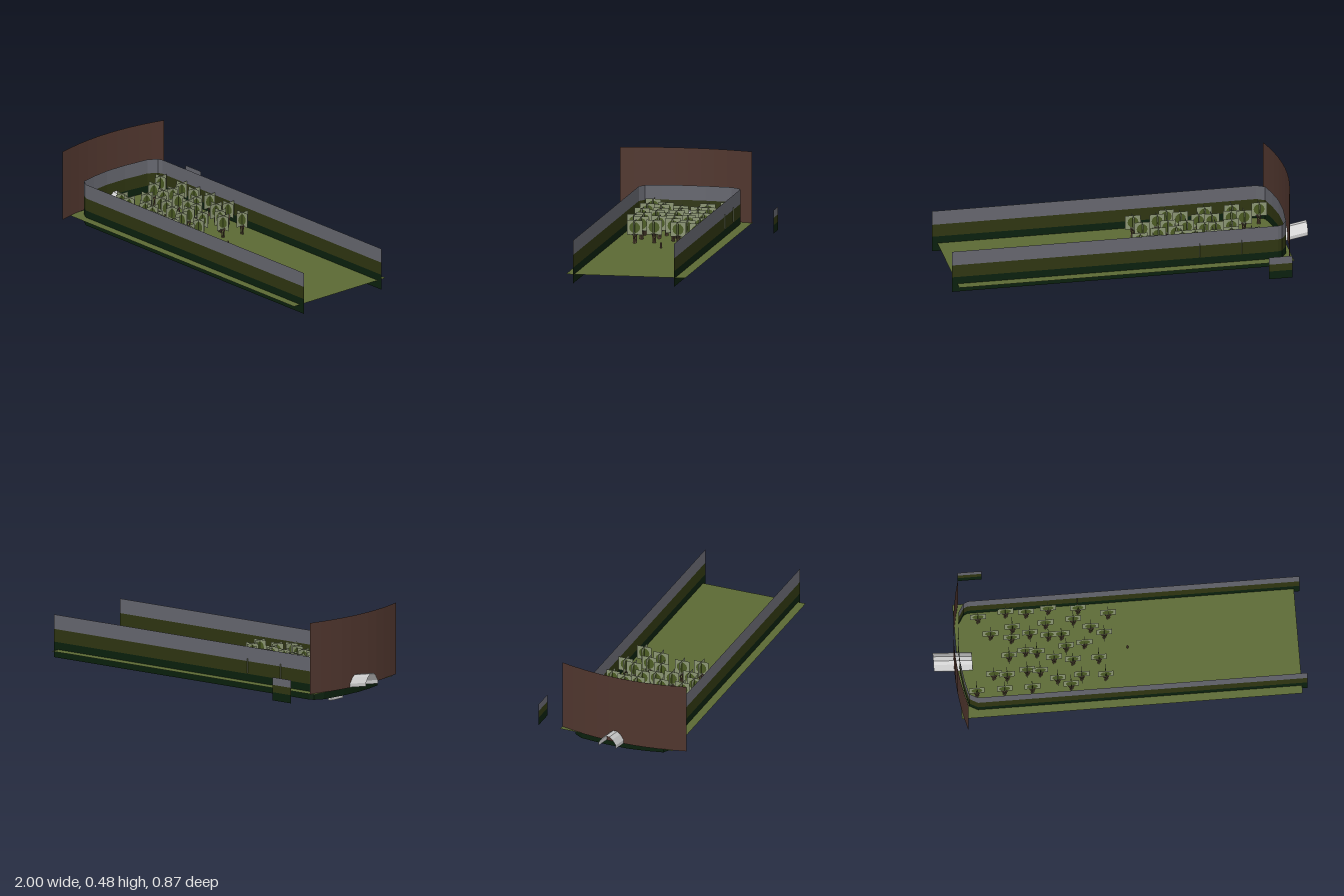
import * as THREE from 'three';

const mat = (name, color) => {
  const m = new THREE.MeshStandardMaterial({ color, side: THREE.DoubleSide, flatShading: true });
  m.name = name;
  return m;
};
const M = {
  grass: mat('grass green', 0x5c6a34),
  hedge: mat('dark hedge green', 0x0a200d),
  olive: mat('olive band', 0x2f3511),
  stone: mat('stone grey', 0x66676f),
  brown: mat('brown board', 0x50362e),
  concrete: mat('pale concrete', 0xcccccc),
  leafPale: mat('pale leaves', 0x8c9674),
  leafDark: mat('leaf green', 0x4c5c24),
  bark: mat('bark', 0x66533f),
};

const add = (parent, name, geo, material, x = 0, y = 0, z = 0) => {
  const m = new THREE.Mesh(geo, material);
  m.name = name;
  m.position.set(x, y, z);
  parent.add(m);
  return m;
};

// Vertical sheet following a path of [x, z] points between two heights
function sheet(path, y0, y1) {
  const pos = [], idx = [];
  path.forEach(([x, z], i) => {
    pos.push(x, y0, z, x, y1, z);
    if (i) {
      const a = 2 * i - 2;
      idx.push(a, a + 2, a + 3, a, a + 3, a + 1);
    }
  });
  const g = new THREE.BufferGeometry();
  g.setAttribute('position', new THREE.Float32BufferAttribute(pos, 3));
  g.setIndex(idx);
  g.computeVertexNormals();
  return g;
}

// Three stacked colour bands along one path
function bandedWall(name, path, [a, b, c, d]) {
  const g = new THREE.Group();
  g.name = name;
  add(g, 'hedgeBand', sheet(path, a, b), M.hedge);
  add(g, 'oliveBand', sheet(path, b, c), M.olive);
  add(g, 'stoneBand', sheet(path, c, d), M.stone);
  return g;
}

// Half-arch outline as [across, up]
const ARCH = [[-0.05, 0], [-0.05, 0.018], [-0.03, 0.046], [-0.012, 0.058],
  [0.012, 0.058], [0.03, 0.046], [0.05, 0.018], [0.05, 0]];

// Sloping arched shell, open at both ends
function tunnelGeometry(x0, y0, x1, y1, zc) {
  const pos = [], idx = [];
  ARCH.forEach(([z, y], i) => {
    pos.push(x0, y0 + y * 1.1, zc + z, x1, y1 + y * 1.1, zc + z);
    if (i) {
      const a = 2 * i - 2;
      idx.push(a, a + 1, a + 3, a, a + 3, a + 2);
    }
  });
  const g = new THREE.BufferGeometry();
  g.setAttribute('position', new THREE.Float32BufferAttribute(pos, 3));
  g.setIndex(idx);
  g.computeVertexNormals();
  return g;
}

// Tree: three thin stems, a twig crown and two crossed leaf cards
const stemGeo = new THREE.CylinderGeometry(0.003, 0.005, 0.055, 4);
const crownGeo = new THREE.CylinderGeometry(0.018, 0.004, 0.016, 5, 1, true);
const cardGeo = new THREE.PlaneGeometry(0.085, 0.08);
const blobGeo = new THREE.CircleGeometry(0.03, 12);

function makeTree() {
  const t = new THREE.Group();
  t.name = 'tree';
  for (let i = 0; i < 3; i++) {
    const a = (i * 2 * Math.PI) / 3;
    const s = add(t, 'stem', stemGeo, M.bark, 0.008 * Math.cos(a), 0.0275, 0.008 * Math.sin(a));
    s.rotation.set(0.08 * Math.sin(a), 0, -0.08 * Math.cos(a));
  }
  add(t, 'twigCrown', crownGeo, M.bark, 0, 0.042, 0);
  for (let i = 0; i < 2; i++) {
    const leaves = new THREE.Group();
    leaves.name = 'leafCard';
    leaves.position.y = 0.085;
    leaves.rotation.y = (i * Math.PI) / 2;
    add(leaves, 'paleLeaves', cardGeo, M.leafPale);
    for (const s of [-1, 1]) add(leaves, 'darkLeaves', blobGeo, M.leafDark, 0, 0, s * 0.0015);
    t.add(leaves);
  }
  return t;
}

export function createModel() {
  const root = new THREE.Group();
  root.name = 'parkDiorama';
  const GROUND = 0.09;

  // Ground sheet
  const ground = add(root, 'ground', new THREE.PlaneGeometry(1.84, 0.655), M.grass, 0.05, GROUND, 0.0375);
  ground.rotation.x = -Math.PI / 2;

  // Long wall with a rounded closed end
  const wallPath = [[1, 0.32], [-0.78, 0.32], [-0.825, 0.295], [-0.845, 0.207], [-0.86, 0.1],
    [-0.86, -0.03], [-0.845, -0.177], [-0.815, -0.225], [-0.79, -0.235], [1, -0.235]];
  root.add(bandedWall('boundaryWall', wallPath, [0.045, 0.13, 0.2, 0.28]));

  // Small detached piece of wall behind
  root.add(bandedWall('detachedWall', [[-0.83, -0.435], [-0.7, -0.435]], [0.06, 0.105, 0.145, 0.187]));

  // Tall bowed board at the closed end
  const board = [];
  for (let i = 0; i <= 10; i++) {
    const u = i / 5 - 1;
    board.push([-0.89 + 0.05 * u * u, 0.0725 + 0.3625 * u]);
  }
  add(root, 'bowedBoard', sheet(board, 0.088, 0.48), M.brown);

  // Arched tunnel through the closed end
  add(root, 'tunnel', tunnelGeometry(-1, 0.11, -0.79, 0.072, 0.04), M.concrete);

  // Arched slab under the ground
  const arch = new THREE.Shape(ARCH.map(([x, y]) => new THREE.Vector2(x, y)));
  const slab = add(root, 'archSlab',
    new THREE.ExtrudeGeometry(arch, { depth: 0.02, bevelEnabled: false }), M.concrete, -0.755, 0, 0.04);
  slab.rotation.y = Math.PI / 2;

  // Grove, as x and z pairs
  const spots = [
    -0.74, -0.18, -0.59, -0.2, -0.48, -0.19, -0.36, -0.2, -0.2, -0.19, -0.04, -0.15,
    -0.68, -0.08, -0.56, -0.11, -0.38, -0.12, -0.23, -0.13, -0.14, -0.08, -0.07, -0.04,
    -0.57, -0.05, -0.47, -0.07, -0.37, -0.05, -0.3, -0.05, -0.59, 0.05, -0.5, 0.03,
    -0.44, 0.04, -0.28, 0.02, -0.18, 0.01, -0.35, 0.08, -0.25, 0.1, -0.11, 0.1,
    -0.68, 0.15, -0.5, 0.14, -0.43, 0.15, -0.61, 0.16, -0.34, 0.2, -0.21, 0.19,
    -0.08, 0.2, -0.78, 0.24, -0.63, 0.24, -0.48, 0.24, -0.27, 0.24];
  const grove = new THREE.Group();
  grove.name = 'grove';
  for (let i = 0; i < spots.length; i += 2) {
    const tree = makeTree();
    tree.position.set(spots[i], GROUND, spots[i + 1]);
    grove.add(tree);
  }
  root.add(grove);

  // Small marker post
  add(root, 'markerPost', new THREE.CylinderGeometry(0.005, 0.005, 0.03, 5), M.bark, 0.05, GROUND + 0.015, 0.03);
  return root;
}
